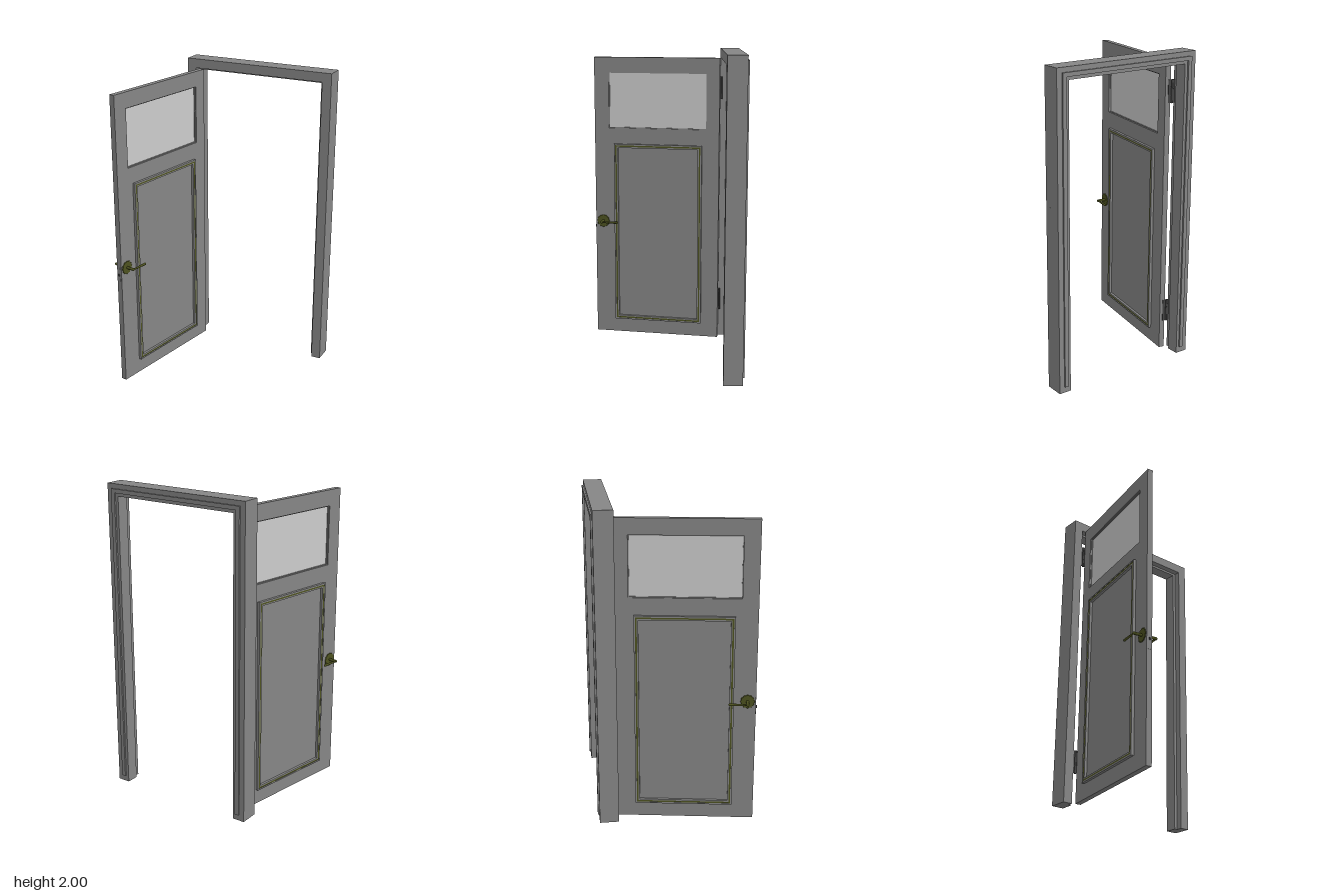
import * as THREE from 'three';

const wood = new THREE.MeshStandardMaterial({ color: 0x868686 });
const glass = new THREE.MeshStandardMaterial({ color: 0xcccccc });
const brass = new THREE.MeshStandardMaterial({ color: 0x4d5220 });
const steel = new THREE.MeshStandardMaterial({ color: 0x444444 });

function add(parent, name, geometry, material, x = 0, y = 0, z = 0) {
  const mesh = new THREE.Mesh(geometry, material);
  mesh.name = name;
  mesh.position.set(x, y, z);
  parent.add(mesh);
  return mesh;
}

const rectPoints = (x0, y0, x1, y1) =>
  [[x0, y0], [x1, y0], [x1, y1], [x0, y1]].map(p => new THREE.Vector2(...p));

// Flat plate in the door plane: shape x runs along the door, depth goes from x = a to x = b
function doorPlate(outer, inner, a, b) {
  const shape = new THREE.Shape(rectPoints(...outer));
  if (inner) shape.holes.push(new THREE.Path(rectPoints(...inner)));
  const g = new THREE.ExtrudeGeometry(shape, { depth: b - a, bevelEnabled: false });
  return g.rotateY(-Math.PI / 2).translate(b, 0, 0);
}

const inset = ([x0, y0, x1, y1], d) => [x0 + d, y0 + d, x1 - d, y1 - d];

// Three-sided door surround, open at the bottom
function surround(halfOut, topOut, halfIn, topIn, bottom, zBack, zFront) {
  const shape = new THREE.Shape([
    [-halfOut, bottom], [-halfIn, bottom], [-halfIn, topIn], [halfIn, topIn],
    [halfIn, bottom], [halfOut, bottom], [halfOut, topOut], [-halfOut, topOut],
  ].map(p => new THREE.Vector2(...p)));
  const g = new THREE.ExtrudeGeometry(shape, { depth: zFront - zBack, bevelEnabled: false });
  return g.translate(0, 0, zBack);
}

function createFrame() {
  const frame = new THREE.Group();
  frame.name = 'doorFrame';
  frame.position.x = 0.055;
  add(frame, 'frameRebate', surround(0.506, 2, 0.445, 1.94, 0, -0.405, -0.364), wood);
  add(frame, 'frameStop', surround(0.506, 2, 0.425, 1.925, 0, -0.485, -0.405), wood);
  add(frame, 'frameBackStrip', surround(0.472, 1.97, 0.445, 1.945, 0.04, -0.495, -0.485), wood);
  return frame;
}

function createHandle(side) {
  const handle = new THREE.Group();
  handle.name = side > 0 ? 'leftHandle' : 'rightHandle';
  handle.position.set(0, 0.805, 0.809);
  const face = 0.018, reach = 0.074;

  // Scalloped rosette against the door face
  const outline = [];
  for (let i = 0; i < 72; i++) {
    const a = i / 72 * Math.PI * 2;
    const r = 0.043 + 0.002 * Math.cos(a * 12);
    outline.push(new THREE.Vector2(r * Math.cos(a), r * Math.sin(a)));
  }
  const plate = new THREE.ExtrudeGeometry(new THREE.Shape(outline), {
    depth: 0.002, bevelThickness: 0.002, bevelSize: 0.002, bevelOffset: -0.002, bevelSegments: 1,
  }).rotateY(side * Math.PI / 2);
  add(handle, 'rosette', plate, brass, side * face);

  // Spindle and tapered lever pointing towards the hinge
  const spindle = new THREE.CylinderGeometry(0.009, 0.009, reach - face, 12).rotateZ(Math.PI / 2);
  add(handle, 'spindle', spindle, brass, side * (reach + face) / 2);
  add(handle, 'elbow', new THREE.SphereGeometry(0.009, 12, 8), brass, side * reach);
  const lever = new THREE.CylinderGeometry(0.008, 0.0055, 0.11, 12).rotateX(-Math.PI / 2);
  add(handle, 'lever', lever, brass, side * reach, 0, -0.055);
  add(handle, 'leverTip', new THREE.SphereGeometry(0.008, 12, 8), brass, side * reach, 0, -0.11);
  return handle;
}

function createDoor() {
  const door = new THREE.Group();
  door.name = 'door';
  door.position.set(-0.346, 0, -0.361);
  door.rotation.y = -0.175;

  // Leaf with its window opening
  const opening = [0.085, 1.458, 0.762, 1.837];
  add(door, 'doorLeaf', doorPlate([0, 0.003, 0.861, 1.938], opening, -0.018, 0.018), wood);
  add(door, 'windowPane', doorPlate(opening, null, -0.003, 0.003), glass);

  const panel = [0.116, 0.1, 0.725, 1.35];
  for (const side of [-1, 1]) {
    const layer = (name, outer, inner, a, b, material) =>
      add(door, name, doorPlate(outer, inner, Math.min(side * a, side * b), Math.max(side * a, side * b)), material);
    layer('windowBead', opening, inset(opening, 0.005), 0.003, 0.01, wood);
    // Moulding round the lower panel, with an inlaid line
    layer('mouldingRim', panel, inset(panel, 0.009), 0.018, 0.036, wood);
    layer('mouldingInlay', inset(panel, 0.009), inset(panel, 0.019), 0.018, 0.034, brass);
    layer('mouldingStep', inset(panel, 0.019), inset(panel, 0.027), 0.018, 0.034, wood);
    door.add(createHandle(side));
  }

  // Lock on the free edge
  add(door, 'lockPlate', new THREE.BoxGeometry(0.018, 0.13, 0.002), wood, 0, 0.765, 0.861);
  add(door, 'latch', new THREE.BoxGeometry(0.01, 0.014, 0.01), steel, 0, 0.765, 0.863);
  return door;
}

function createHinge(y) {
  const hinge = new THREE.Group();
  hinge.name = 'hinge';
  hinge.position.set(-0.371, y, -0.371);
  for (const dy of [-0.05, 0, 0.05])
    add(hinge, 'hingeKnuckle', new THREE.CylinderGeometry(0.007, 0.007, 0.048, 12), steel, 0, dy, 0);
  add(hinge, 'frameLeaf', new THREE.BoxGeometry(0.02, 0.146, 0.003), steel, -0.01, 0, 0);
  add(hinge, 'doorPlate', new THREE.BoxGeometry(0.026, 0.146, 0.003), steel, 0.013, 0, 0.004).rotation.y = -0.175;
  return hinge;
}

export function createModel() {
  const model = new THREE.Group();
  model.name = 'doorWithFrame';
  model.add(createFrame(), createDoor());
  for (const y of [0.27, 1.74]) model.add(createHinge(y));
  return model;
}
